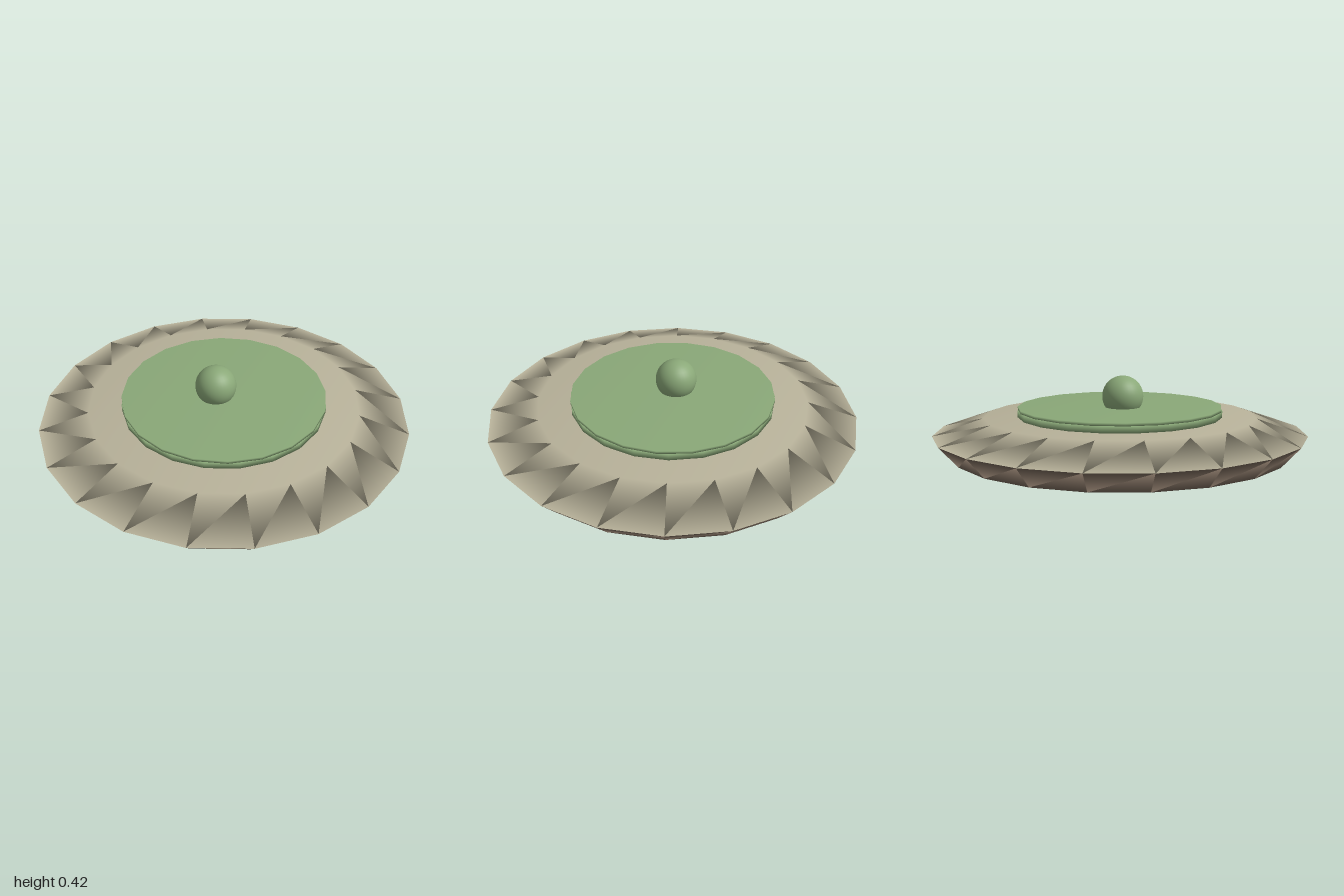
import * as THREE from 'three';
import { mergeVertices } from 'three/addons/utils/BufferGeometryUtils.js';

const SIDES = 20;
const beige = new THREE.MeshStandardMaterial({ color: 0xb8b29a });
const brown = new THREE.MeshStandardMaterial({ color: 0x7a6a5c });
const green = new THREE.MeshStandardMaterial({ color: 0x8aa878 });

// Closed round slab from y0 to y1, with normals blended over its edges
function slab(name, material, bottomRadius, topRadius, y0, y1, turnDegrees) {
  let geometry = new THREE.CylinderGeometry(
    topRadius, bottomRadius, y1 - y0, SIDES, 1, false, THREE.MathUtils.degToRad(turnDegrees));
  geometry.deleteAttribute('uv');
  geometry.deleteAttribute('normal');
  geometry = mergeVertices(geometry, 1e-4);
  geometry.computeVertexNormals();
  geometry.translate(0, (y0 + y1) / 2, 0);
  const mesh = new THREE.Mesh(geometry, material);
  mesh.name = name;
  return mesh;
}

export function createModel() {
  const group = new THREE.Group();
  group.name = 'roundBaseWithKnob';

  // Wide base: flaring underside and sloping upper rim
  group.add(slab('baseUnderside', brown, 0.9, 1, 0, 0.11, 6));
  group.add(slab('baseTop', beige, 1, 0.73, 0.11, 0.2, 6));

  // Lid: a disc and a thin cover, turned slightly against each other
  group.add(slab('lidDisc', green, 0.55, 0.55, 0.2, 0.235, 6));
  group.add(slab('lidCover', green, 0.55, 0.55, 0.235, 0.25, 0));

  // Ball knob, sunk a little into the lid
  const knob = new THREE.Mesh(new THREE.SphereGeometry(0.11, 32, 20), green);
  knob.name = 'knob';
  knob.position.set(-0.035, 0.308, 0.025);
  group.add(knob);

  return group;
}
